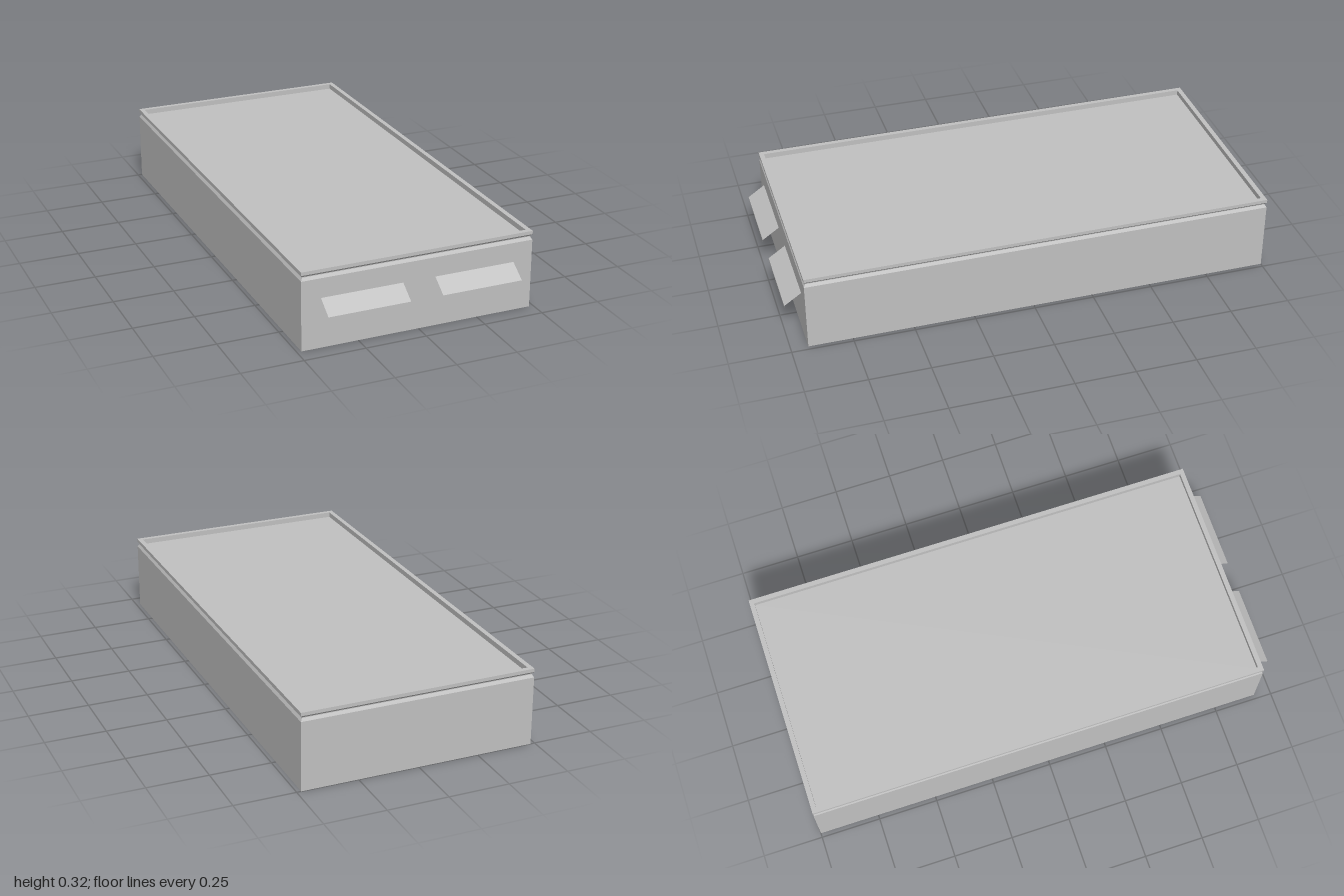
import * as THREE from 'three';

const HALF_X = 0.482, HALF_Z = 0.965, MID_Z = -0.035;

// Flat-faced sheet through a list of four-cornered strips
function quads(list) {
  const pos = [];
  for (const [a, b, c, d] of list) pos.push(...a, ...b, ...c, ...a, ...c, ...d);
  const g = new THREE.BufferGeometry();
  g.setAttribute('position', new THREE.Float32BufferAttribute(pos, 3));
  g.computeVertexNormals();
  return g;
}

// Rectangular ring of corners, counter-clockwise seen from above
function ring([inset, y]) {
  const x = HALF_X - inset, z = HALF_Z - inset;
  return [[-x, y, z], [x, y, z], [x, y, -z], [-x, y, -z]];
}

// Sweeps an (inset, height) profile around the rectangle
function sweep(profile) {
  const list = [];
  for (let i = 0; i < profile.length - 1; i++) {
    const lo = ring(profile[i]), hi = ring(profile[i + 1]);
    for (let k = 0; k < 4; k++) {
      const n = (k + 1) % 4;
      list.push([lo[k], lo[n], hi[n], hi[k]]);
    }
  }
  return quads(list);
}

export function createModel() {
  const model = new THREE.Group();
  const grey = new THREE.MeshStandardMaterial({ color: 0xc0c0c0, side: THREE.DoubleSide });
  grey.name = 'plain grey';

  const add = (name, geometry, parent) => {
    const mesh = new THREE.Mesh(geometry, grey);
    mesh.name = name;
    parent.add(mesh);
    return mesh;
  };

  const body = new THREE.Group();
  body.name = 'body';
  body.position.z = MID_Z;
  model.add(body);

  // Open-bottomed walls, leaning in to the groove
  add('walls', sweep([[0, 0], [0, 0.285], [0.007, 0.297]]), body);
  // Raised lip around the top, dropping to the recessed panel
  add('rim', sweep([[0.007, 0.297], [0.007, 0.3], [0, 0.308], [0, 0.322], [0.02, 0.322], [0.02, 0.3]]), body);
  add('topPanel', quads([ring([0.02, 0.3])]), body);

  // Sloping finger pulls with a short turned-down edge
  const front = MID_Z + HALF_Z, w = 0.168;
  const edge = (y, z) => [[-w, y, z], [w, y, z]];
  const [a, b] = edge(0.148, 1), [c, d] = edge(0.157, 1), [e, f] = edge(0.205, front);
  for (const side of [-1, 1]) {
    const pull = add(side < 0 ? 'rightPull' : 'leftPull', quads([[a, b, d, c], [c, d, f, e]]), model);
    pull.position.x = side * 0.235;
  }
  return model;
}
